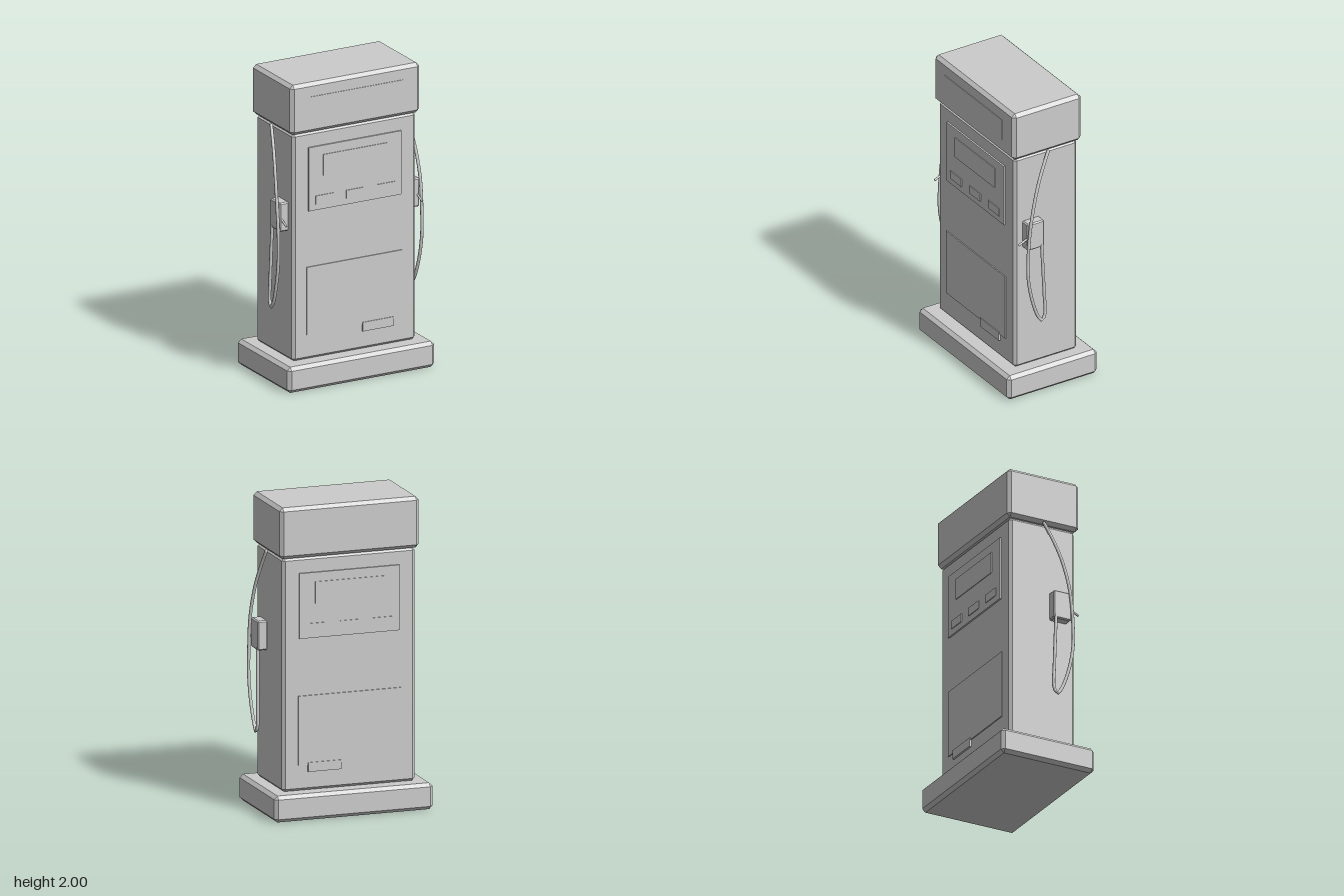
import * as THREE from 'three';
import { ConvexGeometry } from 'three/addons/geometries/ConvexGeometry.js';

const paint = new THREE.MeshStandardMaterial({ color: 0xcccccc });
paint.name = 'light grey paint';

function add(parent, name, geometry) {
  const mesh = new THREE.Mesh(geometry, paint);
  mesh.name = name;
  parent.add(mesh);
  return mesh;
}

// Box given by its limits, with every edge and corner chamfered by c
function chamferBox(x0, x1, y0, y1, z0, z1, c) {
  const hx = (x1 - x0) / 2, hy = (y1 - y0) / 2, hz = (z1 - z0) / 2;
  const points = [];
  for (const sx of [-1, 1]) for (const sy of [-1, 1]) for (const sz of [-1, 1]) {
    points.push(
      new THREE.Vector3(sx * hx, sy * (hy - c), sz * (hz - c)),
      new THREE.Vector3(sx * (hx - c), sy * hy, sz * (hz - c)),
      new THREE.Vector3(sx * (hx - c), sy * (hy - c), sz * hz)
    );
  }
  return new ConvexGeometry(points).translate((x0 + x1) / 2, (y0 + y1) / 2, (z0 + z1) / 2);
}

// Plain box given by its limits
function box(x0, x1, y0, y1, z0, z1) {
  return new THREE.BoxGeometry(x1 - x0, y1 - y0, z1 - z0)
    .translate((x0 + x1) / 2, (y0 + y1) / 2, (z0 + z1) / 2);
}

// Panels on the front (side 1) or back (side -1)
function facePanels(side) {
  const group = new THREE.Group();
  const plate = (name, x0, x1, y0, y1, depth) => {
    const z = [side * 0.225, side * depth].sort((a, b) => a - b);
    add(group, name, box(x0, x1, y0, y1, z[0], z[1]));
  };
  plate('screenPanel', -0.333, 0.333, 1.15, 1.57, 0.243);
  plate('display', -0.23, 0.23, 1.37, 1.51, 0.248);
  for (const x of [-0.22, 0, 0.22]) plate('button', x - 0.065, x + 0.065, 1.19, 1.245, 0.248);
  plate('lowerPanel', -0.345, 0.34, 0.335, 0.78, 0.239);
  plate('latchPlate', 0.055, 0.275, 0.29, 0.35, 0.244);
  return group;
}

// Nozzle holder, spout and hanging hose on one side (1 = +x, -1 = -x)
function hoseSet(side) {
  const group = new THREE.Group();
  const x0 = side > 0 ? 0.435 : -0.503, x1 = side > 0 ? 0.503 : -0.435;
  add(group, 'nozzleHolder', chamferBox(x0, x1, 1.02, 1.21, 0.05, 0.175, 0.008));

  const spout = add(group, 'spout', new THREE.CylinderGeometry(0.007, 0.007, 0.1, 10));
  spout.position.set(side * 0.488, 1.094, 0.187);
  spout.rotation.x = Math.PI / 2 + 0.42;

  const path = [
    [0.465, 1.67, 0], [0.483, 1.55, 0.058], [0.5, 1.42, 0.108], [0.514, 1.22, 0.156],
    [0.515, 1.0, 0.178], [0.515, 0.83, 0.178], [0.512, 0.66, 0.146], [0.507, 0.53, 0.098],
    [0.507, 0.497, 0.07], [0.505, 0.53, 0.05], [0.502, 0.7, 0.053], [0.497, 1.04, 0.068]
  ].map(([x, y, z]) => new THREE.Vector3(side * x, y, z));
  const curve = new THREE.CatmullRomCurve3(path);
  add(group, 'hose', new THREE.TubeGeometry(curve, 64, 0.0105, 10));

  // Closed upper end of the hose
  add(group, 'hoseEnd', new THREE.SphereGeometry(0.0105, 10, 6)).position.copy(path[0]);
  return group;
}

export function createModel() {
  const model = new THREE.Group();
  model.name = 'fuelPump';

  // Cabinet
  add(model, 'base', chamferBox(-0.527, 0.527, 0, 0.17, -0.332, 0.332, 0.022));
  add(model, 'body', chamferBox(-0.442, 0.442, 0.168, 1.672, -0.232, 0.232, 0.018));
  add(model, 'head', chamferBox(-0.464, 0.464, 1.67, 2, -0.254, 0.254, 0.022));
  add(model, 'signPlate', box(-0.335, 0.335, 1.77, 1.91, 0.25, 0.258));

  // Panels on both faces
  for (const [side, name] of [[1, 'frontPanels'], [-1, 'backPanels']]) {
    const panels = facePanels(side);
    panels.name = name;
    model.add(panels);
  }

  // Hoses on both sides
  for (const [side, name] of [[1, 'leftHose'], [-1, 'rightHose']]) {
    const hose = hoseSet(side);
    hose.name = name;
    model.add(hose);
  }
  return model;
}
